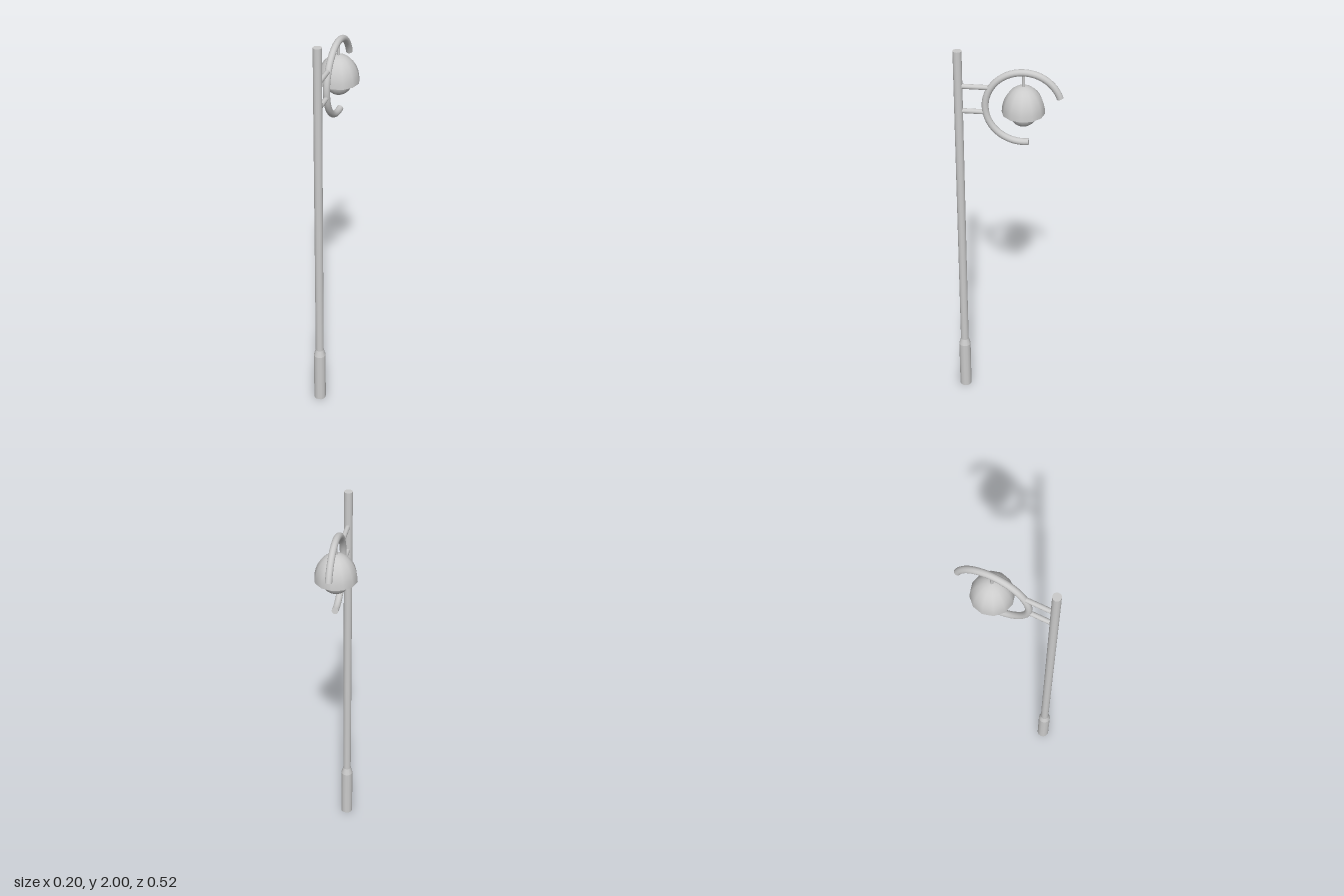
import * as THREE from 'three';

const POLE_Z = 0.233;
const LAMP_Z = -0.073;
const RING_Y = 1.727, RING_R = 0.18, TUBE_R = 0.0165;

export function createModel() {
  const model = new THREE.Group();
  const grey = new THREE.MeshStandardMaterial({ color: 0xcccccc });
  const greyDouble = new THREE.MeshStandardMaterial({ color: 0xcccccc, side: THREE.DoubleSide });

  const add = (name, geometry, x, y, z, material = grey, parent = model) => {
    const mesh = new THREE.Mesh(geometry, material);
    mesh.name = name;
    mesh.position.set(x, y, z);
    parent.add(mesh);
    return mesh;
  };
  // upright cylinder between two heights
  const post = (name, rTop, rBottom, y0, y1, z, open = false) =>
    add(name, new THREE.CylinderGeometry(rTop, rBottom, y1 - y0, 12, 1, open), 0, (y0 + y1) / 2, z);

  // pole: wide base sleeve, tapered collar, slim shaft
  post('poleBase', 0.031, 0.031, 0, 0.28, POLE_Z);
  post('poleCollar', 0.021, 0.031, 0.28, 0.315, POLE_Z, true);
  post('poleShaft', 0.021, 0.021, 0.315, 2, POLE_Z);

  // two horizontal arms joining the pole to the ring
  for (const [name, y, end] of [['upperArm', 1.822, 0.093], ['lowerArm', 1.695, 0.1]]) {
    const arm = new THREE.CylinderGeometry(0.012, 0.012, POLE_Z - end, 12).rotateX(Math.PI / 2);
    add(name, arm, 0, y, (POLE_Z + end) / 2);
  }

  // open ring, drawn in the xy plane and turned so its gap faces the back
  const ring = new THREE.Group();
  ring.name = 'ring';
  ring.position.set(0, RING_Y, LAMP_Z);
  ring.rotation.y = Math.PI / 2;
  model.add(ring);
  const start = THREE.MathUtils.degToRad(19), end = THREE.MathUtils.degToRad(278);
  add('ringTube', new THREE.TorusGeometry(RING_R, TUBE_R, 12, 40, end - start).rotateZ(start), 0, 0, 0, grey, ring);
  for (const [a, tilt] of [[start, 1], [end, -1]]) {
    const cap = new THREE.CircleGeometry(TUBE_R, 12).rotateX(tilt * Math.PI / 2).rotateZ(a);
    add('ringEndCap', cap, RING_R * Math.cos(a), RING_R * Math.sin(a), 0, grey, ring);
  }

  // lamp hanging from the top of the ring
  post('hangerRod', 0.007, 0.007, 1.83, RING_Y + RING_R, LAMP_Z);
  const dome = [];
  for (let i = 0; i <= 8; i++) {
    const a = (i / 8) * Math.PI / 2;
    dome.push(new THREE.Vector2(Math.max(0, 0.102 * Math.cos(a)), 0.135 * Math.sin(a)));
  }
  add('shade', new THREE.LatheGeometry(dome, 12), 0, 1.704, LAMP_Z, greyDouble);
  add('bulb', new THREE.SphereGeometry(0.067, 16, 12), 0, 1.704, LAMP_Z);

  return model;
}
